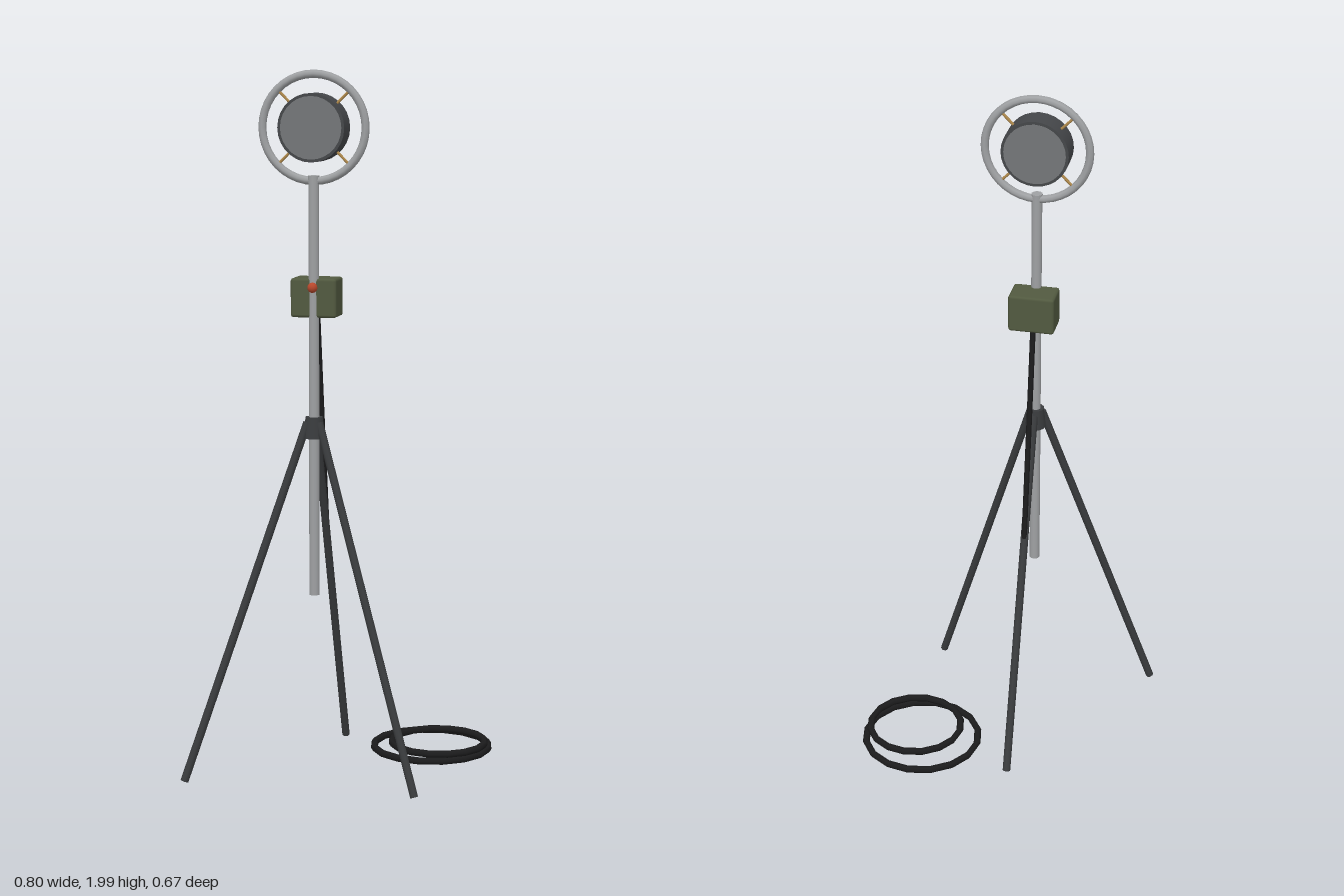
import * as THREE from 'three';
import { RoundedBoxGeometry } from 'three/addons/geometries/RoundedBoxGeometry.js';

const X = -0.06, Z = 0.13; // mast axis

function mat(name, color, flatShading = false) {
  const m = new THREE.MeshStandardMaterial({ color, flatShading });
  m.name = name;
  return m;
}

export function createModel() {
  const group = new THREE.Group();
  const metal = mat('light metal', 0x9fa1a3);
  const legPaint = mat('dark leg metal', 0x3a3c3e);
  const bodyPaint = mat('microphone body', 0x45474a);
  const grillePaint = mat('grille grey', 0x747678);
  const olive = mat('olive green', 0x525a40);
  const rubber = mat('black rubber', 0x1c1c1d);
  const red = mat('knob red', 0xb8482c);
  const tan = mat('elastic tan', 0xb08a4c);

  const add = (name, geometry, material, x = 0, y = 0, z = 0) => {
    const mesh = new THREE.Mesh(geometry, material);
    mesh.name = name;
    mesh.position.set(x, y, z);
    group.add(mesh);
    return mesh;
  };

  // straight round bar between two points
  const bar = (name, a, b, radius, sides, material) => {
    const dir = b.clone().sub(a);
    const mesh = add(name, new THREE.CylinderGeometry(radius, radius, dir.length(), sides), material);
    mesh.position.copy(a).lerp(b, 0.5);
    mesh.quaternion.setFromUnitVectors(new THREE.Vector3(0, 1, 0), dir.normalize());
    return mesh;
  };
  const at = (x, y, z) => new THREE.Vector3(x, y, z);

  // mast with the small clamp that carries the ring
  bar('mast', at(X, 0.525, Z), at(X, 1.7, Z), 0.015, 12, metal);
  bar('ringClamp', at(X, 1.69, Z), at(X, 1.71, Z), 0.016, 12, metal);

  // tripod collar and three splayed legs
  add('tripodCollar', new THREE.CylinderGeometry(0.025, 0.031, 0.06, 12), legPaint, X, 1.005, Z);
  for (let i = 0; i < 3; i++) {
    const a = Math.PI + i * Math.PI * 2 / 3;
    const s = Math.sin(a), c = Math.cos(a);
    bar('tripodLeg', at(X + s * 0.02, 1.02, Z + c * 0.02),
      at(X + s * 0.383, 0.01, Z + c * 0.383), 0.0115, 8, legPaint);
  }

  // suspension ring and drum-shaped microphone
  const headY = 1.842;
  add('suspensionRing', new THREE.TorusGeometry(0.147, 0.0115, 8, 40), metal, X, headY, Z - 0.002);
  const drum = add('microphoneBody', new THREE.CylinderGeometry(0.095, 0.095, 0.07, 28), bodyPaint, X, headY, Z - 0.002);
  drum.rotation.x = Math.PI / 2;
  for (const side of [1, -1]) {
    const grille = add('microphoneGrille', new THREE.CylinderGeometry(0.087, 0.087, 0.003, 28),
      grillePaint, X, headY, Z - 0.002 + side * 0.035);
    grille.rotation.x = Math.PI / 2;
  }

  // four diagonal elastic supports
  for (let i = 0; i < 4; i++) {
    const a = Math.PI / 4 + i * Math.PI / 2;
    const c = Math.cos(a), s = Math.sin(a);
    bar('elasticSupport', at(X + c * 0.09, headY + s * 0.09, Z - 0.002),
      at(X + c * 0.143, headY + s * 0.143, Z - 0.002), 0.004, 6, tan);
  }

  // preamp box behind the mast, with knob in front
  add('preampBox', new RoundedBoxGeometry(0.132, 0.11, 0.088, 1, 0.008), olive, X, 1.37, 0.097);
  add('clampKnob', new THREE.SphereGeometry(0.0145, 12, 8), red, X, 1.4, 0.147);

  // cable from the box down to the rear leg
  const path = new THREE.CatmullRomCurve3([
    at(X, 1.33, 0.09), at(X, 1.1, 0.053), at(X, 0.88, 0.016), at(X, 0.68, -0.018)]);
  add('cable', new THREE.TubeGeometry(path, 16, 0.008, 6), rubber);

  // loose cable loops on the floor
  for (const [x, y, z, r] of [[0.222, 0.022, -0.157, 0.17], [0.248, 0.042, -0.133, 0.137]]) {
    const loop = add('cableLoop', new THREE.TorusGeometry(r, 0.0105, 6, 16), rubber, x, y, z);
    loop.rotation.x = Math.PI / 2;
  }
  return group;
}
